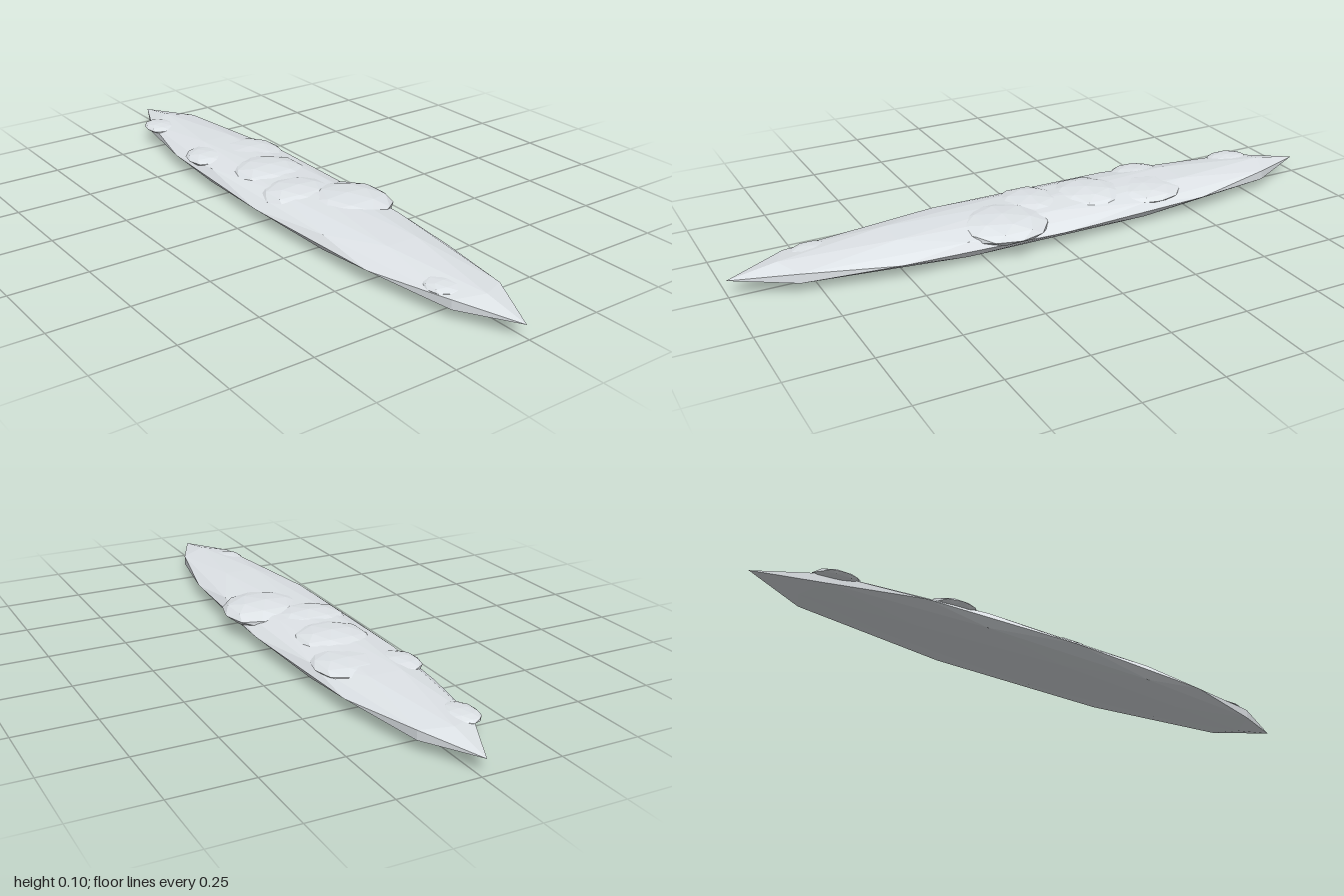
import * as THREE from 'three';

export function createModel() {
  const group = new THREE.Group();
  group.name = 'flatCloud';

  const cloudWhite = new THREE.MeshStandardMaterial({ color: 0xe4e9ed, flatShading: true });
  cloudWhite.name = 'cloudWhite';

  // Low-poly sphere, turned so that its long outline lies in the ground plane
  const puffGeometry = new THREE.IcosahedronGeometry(1, 1);
  puffGeometry.rotateX(Math.PI / 2);

  function addPuff(name, [x, y, z], [rx, ry, rz]) {
    const puff = new THREE.Mesh(puffGeometry, cloudWhite);
    puff.name = name;
    puff.position.set(x, y, z);
    puff.scale.set(rx, ry, rz);
    group.add(puff);
  }

  // Long flat body
  addPuff('cloudBody', [0, 0.049, 0.0125], [1, 0.048, 0.1725]);

  // Flattened puffs rising out of the upper side
  addPuff('backPuff', [0.16, 0.07, -0.05], [0.15, 0.034, 0.14]);
  addPuff('centrePuff', [0.02, 0.073, 0.035], [0.12, 0.03, 0.12]);
  addPuff('innerPuff', [-0.17, 0.076, 0.015], [0.13, 0.028, 0.12]);
  addPuff('sidePuff', [-0.36, 0.072, -0.03], [0.13, 0.022, 0.11]);
  addPuff('frontPuff', [-0.41, 0.07, 0.095], [0.09, 0.019, 0.08]);
  addPuff('rightTipPuff', [-0.77, 0.064, 0.08], [0.075, 0.014, 0.055]);
  addPuff('leftTipPuff', [0.73, 0.064, 0.06], [0.07, 0.014, 0.055]);

  return group;
}
